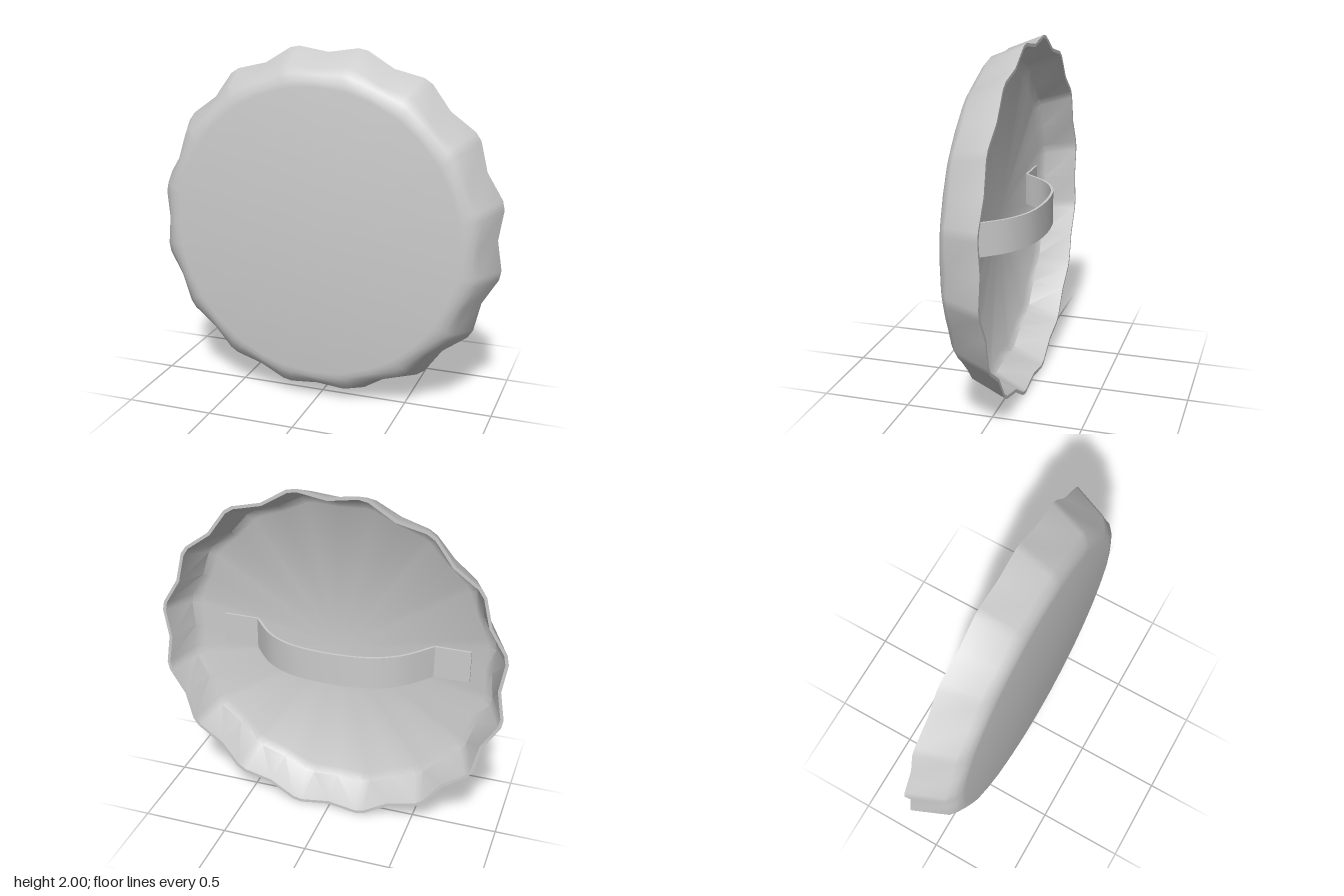
import * as THREE from 'three';
import { toCreasedNormals } from 'three/addons/utils/BufferGeometryUtils.js';

const material = new THREE.MeshStandardMaterial({ color: 0xcccccc });
const CENTER_Y = 1;
const FLUTES = 16;

// Cross-section from the middle of the face, round the rim, to the middle of the hollow:
// [z, radius in the valleys, radius at the flute tips]
const PROFILE = [
  [0.158, 0, 0],
  [0.158, 0.82, 0.82],
  [0.153, 0.85, 0.853],
  [0.135, 0.882, 0.893],
  [0.1, 0.908, 0.935],
  [-0.095, 0.973, 1.0146],
  [-0.095, 0.955, 0.996],
  [0.085, 0.888, 0.915],
  [0.115, 0.845, 0.865],
  [0.115, 0, 0],
];

// Fluted dish: each flute has a valley and a narrow flat tip
function dishGeometry() {
  const step = (Math.PI * 2) / FLUTES;
  const tip = 0.027;
  const spokes = [];
  for (let k = 0; k < FLUTES; k++) {
    spokes.push([k * step, 0], [(k + 0.5) * step - tip, 1], [(k + 0.5) * step + tip, 1]);
  }
  const n = spokes.length;
  const positions = [];
  const index = [];
  PROFILE.forEach(([z, valley, peak], i) => {
    spokes.forEach(([angle, t], j) => {
      const r = valley + (peak - valley) * t;
      positions.push(r * Math.cos(angle), r * Math.sin(angle), z);
      if (i === PROFILE.length - 1) return;
      const a = i * n + j;
      const b = i * n + ((j + 1) % n);
      if (i < PROFILE.length - 2) index.push(a, a + n, b + n);
      if (i > 0) index.push(a, b + n, b);
    });
  });
  const geometry = new THREE.BufferGeometry();
  geometry.setAttribute('position', new THREE.Float32BufferAttribute(positions, 3));
  geometry.setIndex(index);
  return toCreasedNormals(geometry, 0.62);
}

// Arched strap with two flat feet, drawn in x and z and extruded over its width
function strapGeometry(width, thickness) {
  const arch = new THREE.SplineCurve([
    [-0.53, 0.103], [-0.42, -0.025], [-0.32, -0.097], [-0.19, -0.145], [0, -0.162],
    [0.19, -0.145], [0.32, -0.097], [0.42, -0.025], [0.53, 0.103],
  ].map(([x, z]) => new THREE.Vector2(x, z)));
  const outer = [new THREE.Vector2(-0.735, 0.103), ...arch.getPoints(32), new THREE.Vector2(0.735, 0.103)];
  const inner = outer.map((p, i) => {
    const along = outer[Math.min(i + 1, outer.length - 1)].clone().sub(outer[Math.max(i - 1, 0)]).normalize();
    return new THREE.Vector2(p.x - along.y * thickness, p.y + along.x * thickness);
  });
  const shape = new THREE.Shape([...outer, ...inner.reverse()]);
  const geometry = new THREE.ExtrudeGeometry(shape, { depth: width, bevelEnabled: false });
  geometry.translate(0, 0, -width / 2);
  geometry.rotateX(Math.PI / 2);
  return toCreasedNormals(geometry, 0.45);
}

export function createModel() {
  const model = new THREE.Group();
  model.name = 'shield';

  const dish = new THREE.Mesh(dishGeometry(), material);
  dish.name = 'flutedDish';
  dish.position.y = CENTER_Y;

  const strap = new THREE.Mesh(strapGeometry(0.19, 0.014), material);
  strap.name = 'handStrap';
  strap.position.set(-0.03, CENTER_Y + 0.005, 0);

  model.add(dish, strap);
  return model;
}
